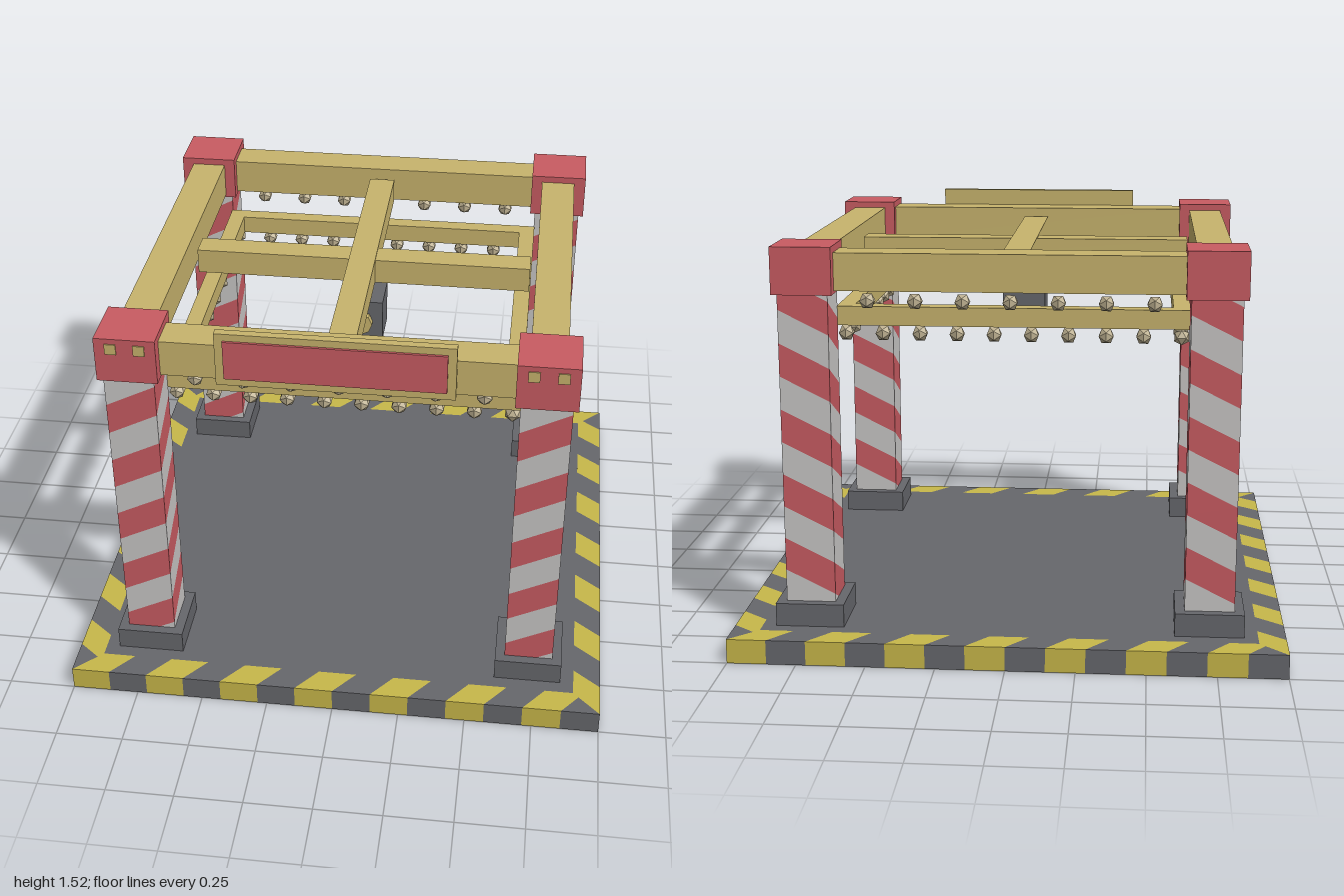
import * as THREE from 'three';
import { mergeGeometries } from 'three/addons/utils/BufferGeometryUtils.js';

const mat = (name, color) => Object.assign(new THREE.MeshStandardMaterial({ color }), { name });

// keep the part of a polygon where a*x + b*y <= c
function clip(poly, a, b, c) {
  const out = [];
  const side = (p) => a * p[0] + b * p[1] - c;
  poly.forEach((p, i) => {
    const q = poly[(i + 1) % poly.length];
    const sp = side(p), sq = side(q);
    if (sp <= 1e-9) out.push(p);
    if ((sp < -1e-9 && sq > 1e-9) || (sp > 1e-9 && sq < -1e-9)) {
      const t = sp / (sp - sq);
      out.push([p[0] + t * (q[0] - p[0]), p[1] + t * (q[1] - p[1])]);
    }
  });
  return out;
}
const toShape = (poly) => new THREE.Shape(poly.map(([x, y]) => new THREE.Vector2(x, y)));

export function createModel() {
  const model = new THREE.Group();
  model.name = 'arenaCanopy';
  const dark = mat('darkGrey', 0x66676c);
  const yellow = mat('hazardYellow', 0xc8b84a);
  const tan = mat('tan', 0xc8b46d);
  const red = mat('red', 0xc95c62);
  const white = mat('paleGrey', 0xc9c7c6);
  const glass = mat('bulb', 0xbdb090);

  const add = (name, geometry, material, x = 0, y = 0, z = 0, parent = model) => {
    const m = new THREE.Mesh(geometry, material);
    m.name = name;
    m.position.set(x, y, z);
    parent.add(m);
    return m;
  };
  // box given by its limits
  const box = (name, material, x0, x1, y0, y1, z0, z1, parent = model) =>
    add(name, new THREE.BoxGeometry(x1 - x0, y1 - y0, z1 - z0), material,
      (x0 + x1) / 2, (y0 + y1) / 2, (z0 + z1) / 2, parent);

  // floor slab with mitred, slanted hazard stripes around the rim
  const H = 0.09;
  box('floor', dark, -0.9, 0.9, 0, H, -0.9, 0.9);
  const rim = [[], []];
  for (let side = 0; side < 4; side++) {
    for (let i = 0; i < 14; i++) {
      const u0 = -1 + i / 7, u1 = u0 + 1 / 7, s = 0.08;
      let poly = [[u0, -1], [u1, -1], [u1 + s, -0.9], [u0 + s, -0.9]];
      if (i === 0) poly[3][0] = -0.9;
      poly = clip(clip(poly, -1, 1, 0), 1, 1, 0);
      const g = new THREE.ExtrudeGeometry(toShape(poly), { depth: H, bevelEnabled: false });
      g.rotateX(-Math.PI / 2).rotateY(side * Math.PI / 2);
      rim[i % 2].push(g);
    }
  }
  add('rimYellowStripes', mergeGeometries(rim[0]), yellow);
  add('rimDarkStripes', mergeGeometries(rim[1]), dark);

  // slanted post stripes: parallel planes cut across a square post
  const W = 0.09, PERIOD = 0.24, RISE = 0.09;
  const bands = [[], []];
  const edgeHeights = [[0, 1], [1, 2], [2, 1], [1, 0]];
  edgeHeights.forEach(([l, r], side) => {
    for (let i = -4; i < 12; i++) {
      const y0 = 0.235 + i * PERIOD / 2, y1 = y0 + PERIOD / 2;
      let poly = [[-W, y0 + l * RISE], [W, y0 + r * RISE], [W, y1 + r * RISE], [-W, y1 + l * RISE]];
      poly = clip(clip(poly, 0, -1, -0.17), 0, 1, 1.32);
      if (poly.length < 3) continue;
      const g = new THREE.ShapeGeometry(toShape(poly));
      g.translate(0, 0, W).rotateY(side * Math.PI / 2);
      bands[Math.abs(i) % 2].push(g);
    }
  });
  const whiteBands = mergeGeometries(bands[0]), redBands = mergeGeometries(bands[1]);

  // four corner posts with foot and cap
  const P = 0.725;
  for (const sx of [-1, 1]) for (const sz of [-1, 1]) {
    const post = new THREE.Group();
    post.name = 'cornerPost';
    post.position.set(sx * P, 0, sz * P);
    model.add(post);
    box('foot', dark, -0.125, 0.125, H, 0.175, -0.125, 0.125, post);
    add('postWhiteStripes', whiteBands, white, 0, 0, 0, post);
    add('postRedStripes', redBands, red, 0, 0, 0, post);
    box('cap', red, -0.108, 0.108, 1.31, 1.48, -0.108, 0.108, post);
    if (sz > 0) for (const dx of [-0.05, 0.05]) {
      box('capMarker', tan, dx - 0.02, dx + 0.02, 1.42, 1.46, 0.105, 0.112, post);
    }
  }

  // each side: top beam, lower frame rail and two rows of bulbs
  const bulb = new THREE.IcosahedronGeometry(0.031, 0);
  for (let side = 0; side < 4; side++) {
    const g = new THREE.Group();
    g.name = 'canopySide';
    g.rotation.y = side * Math.PI / 2;
    model.add(g);
    box('topBeam', tan, -0.625, 0.625, 1.32, 1.455, 0.658, 0.788, g);
    box('lowerRail', tan, -0.638, 0.638, 1.17, 1.24, 0.577, 0.638, g);
    for (let i = -3; i <= 3; i++) add('upperBulb', bulb, glass, i * 0.17, 1.275, 0.722, g);
    for (let i = 0; i < 9; i++) add('lowerBulb', bulb, glass, -0.608 + i * 0.135, 1.138, 0.608, g);
  }

  // crossed bars in the middle of the roof
  box('crossBarX', tan, -0.635, 0.635, 1.32, 1.415, -0.05, 0.05);
  box('crossBarZ', tan, -0.05, 0.05, 1.325, 1.42, -0.635, 0.635);

  // hanging projector with a lens
  box('projector', dark, -0.083, 0.083, 1.085, 1.25, -0.083, 0.083);
  const lens = new THREE.CylinderGeometry(0.045, 0.045, 0.03, 8, 1).toNonIndexed();
  lens.rotateX(Math.PI / 2).computeVertexNormals();
  add('projectorLens', lens, tan, 0, 1.165, 0.095);

  // front sign board
  box('signBoard', tan, -0.415, 0.415, 1.315, 1.52, 0.788, 0.818);
  box('signPanel', red, -0.385, 0.385, 1.345, 1.493, 0.818, 0.827);

  return model;
}
